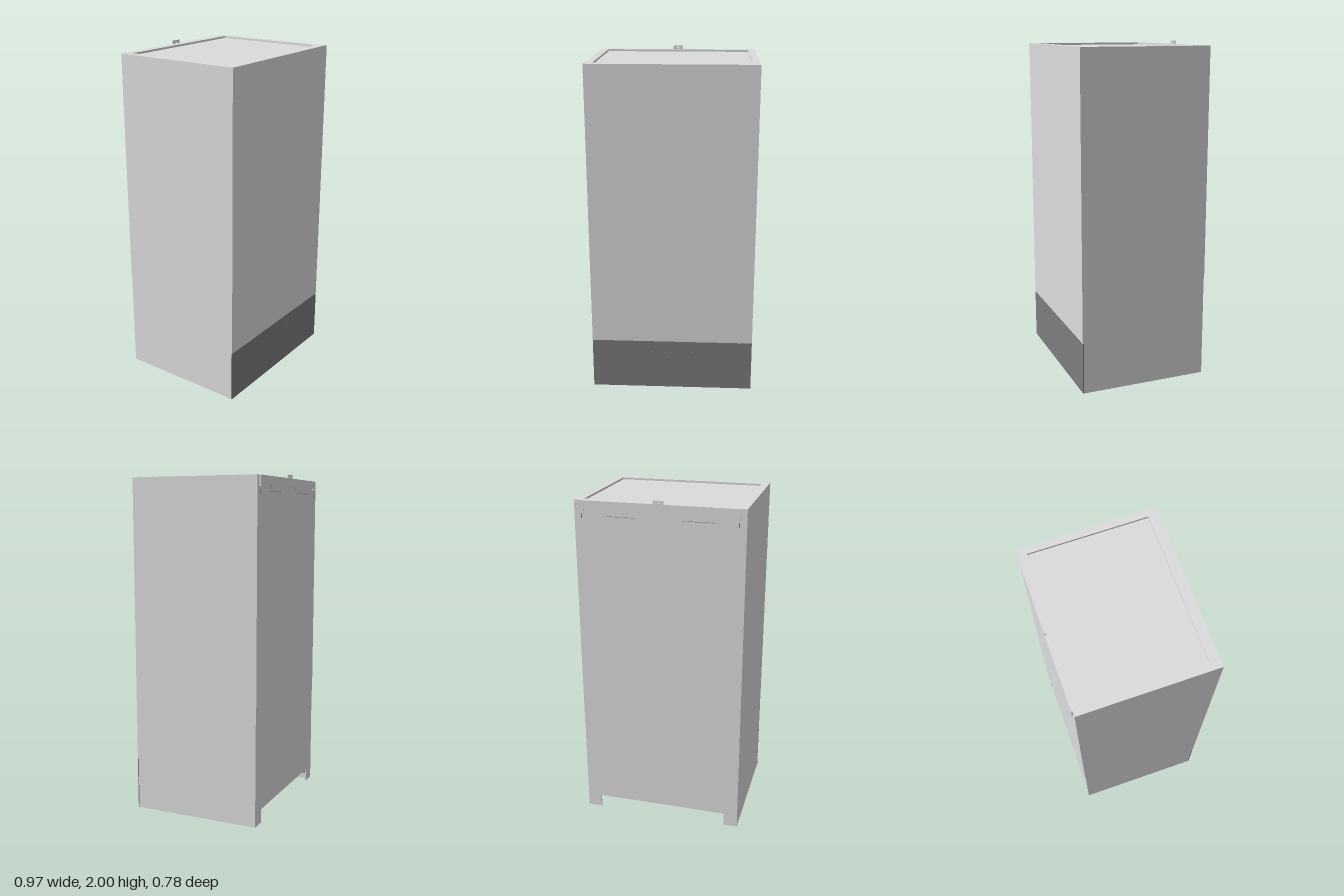
import * as THREE from 'three';

const mat = (name, color) => {
  const m = new THREE.MeshStandardMaterial({ color });
  m.name = name;
  return m;
};

export function createModel() {
  const casing = mat('light grey casing', 0xdcdcdc);
  const trim = mat('dark grey trim', 0x7d7d7d);
  const base = mat('charcoal base', 0x6c6c6c);
  const metal = mat('pale metal', 0xfafafa);

  const group = new THREE.Group();
  const add = (name, geometry, material) => {
    const mesh = new THREE.Mesh(geometry, material);
    mesh.name = name;
    group.add(mesh);
    return mesh;
  };
  // Box given by its minimum and maximum on each axis
  const box = (name, material, x0, x1, y0, y1, z0, z1) => {
    const mesh = add(name, new THREE.BoxGeometry(x1 - x0, y1 - y0, z1 - z0), material);
    mesh.position.set((x0 + x1) / 2, (y0 + y1) / 2, (z0 + z1) / 2);
    return mesh;
  };
  // Flat sheet cut from an outline in x and y, with its rear face at z
  const sheet = (name, material, points, z, depth, hole) => {
    const shape = new THREE.Shape(points.map(([x, y]) => new THREE.Vector2(x, y)));
    if (hole) shape.holes.push(hole);
    const mesh = add(name, new THREE.ExtrudeGeometry(shape, { depth, bevelEnabled: false, curveSegments: 12 }), material);
    mesh.position.z = z;
    return mesh;
  };
  // Completes a symmetrical outline from its +x half
  const mirrored = (half) => [...half, ...half.map(([x, y]) => [-x, y]).reverse()];

  const W = 0.485, IN = 0.44, H = 1.98, FRONT = 0.392, INNER = 0.386, BACK = -0.382;

  // Casing: side walls, front cover and lower front panel
  box('leftSide', casing, IN, W, 0, H, BACK, INNER);
  box('rightSide', casing, -W, -IN, 0, H, BACK, INNER);
  box('frontCover', casing, -W, W, 0.31, H, INNER, FRONT);
  box('lowerFrontPanel', trim, -W, W, 0, 0.31, INNER, FRONT);
  box('panelSlot', trim, -0.15, 0.16, 0.236, 0.238, FRONT - 0.001, FRONT + 0.0005);
  box('frontBottomLip', casing, -IN, IN, 0, 0.03, 0.315, INNER);

  // Back wall with the pipe cut-out at the bottom
  sheet('backWall', casing, mirrored([[0.4, 0.08], [0.4, 0], [IN, 0], [IN, H]]), BACK, 0.01);

  // Top rails around the sunken lid
  box('topFrontRail', casing, -IN, IN, 1.94, H, 0.335, INNER);
  box('topBackRail', casing, -IN, IN, 1.94, H, -0.372, -0.34);
  box('topLid', casing, -IN, IN, 1.94, 1.968, -0.34, 0.335);

  // Recessed base tray with shallow side skirts
  box('baseTray', base, -IN, IN, 0.078, 0.1, -0.372, INNER);
  for (const s of [-1, 1]) {
    const x = s * (IN - 0.002);
    box('traySkirt', base, x - 0.002, x + 0.002, 0.04, 0.078, -0.372, INNER);
  }

  // Thin rear plate with a stepped lower edge
  sheet('rearPlate', casing, mirrored([
    [0.36, 0.585], [0.38, 0.605], [W, 0.605], [W, H],
  ]), BACK - 0.003, 0.003);

  // Hanging bracket with two deeper tongues and a holed centre tab
  const tabHole = new THREE.Path().absarc(0, 1.988, 0.006, 0, Math.PI * 2, true);
  sheet('hangingBracket', casing, mirrored([
    [0.08, 1.935], [0.11, 1.912], [0.28, 1.912], [0.32, 1.935], [0.43, 1.935],
    [0.43, 1.92], [0.455, 1.92], [0.455, H], [0.03, H], [0.03, 2],
  ]), -0.392, 0.007, tabHole);
  for (const s of [-1, 1]) {
    const x = s * 0.225;
    box('bracketSlot', trim, x - 0.09, x + 0.09, 1.895, 1.897, -0.386, -0.384);
    box('bracketHook', trim, s * 0.443 - 0.003, s * 0.443 + 0.003, 1.88, 1.905, -0.386, -0.384);
  }

  // Pipe fittings under the tray: [x, z, radius]
  const fittings = [
    [0.34, -0.23, 0.036], [0.11, -0.24, 0.032], [-0.12, -0.24, 0.038], [-0.36, -0.235, 0.032],
    [0.225, -0.08, 0.033], [-0.06, -0.1, 0.024], [-0.24, -0.08, 0.03],
  ];
  // Stepped profile, radius fraction and height, from bottom to top
  const profile = [
    [0, 0.001], [0.8, 0.001], [0.8, 0.022], [1, 0.022], [1, 0.032],
    [0.82, 0.032], [0.82, 0.038], [1, 0.038], [1, 0.07], [0.85, 0.07], [0.85, 0.079],
  ];
  for (const [x, z, r] of fittings) {
    // Each step is its own lathe band so the rims stay sharp
    const fitting = new THREE.Group();
    fitting.name = 'pipeFitting';
    for (let i = 1; i < profile.length; i++) {
      const band = [profile[i - 1], profile[i]].map(([f, y]) => new THREE.Vector2(f * r, y));
      const mesh = new THREE.Mesh(new THREE.LatheGeometry(band, 24), metal);
      mesh.name = 'fittingBand';
      fitting.add(mesh);
    }
    fitting.position.set(x, 0, z);
    group.add(fitting);
  }

  return group;
}
